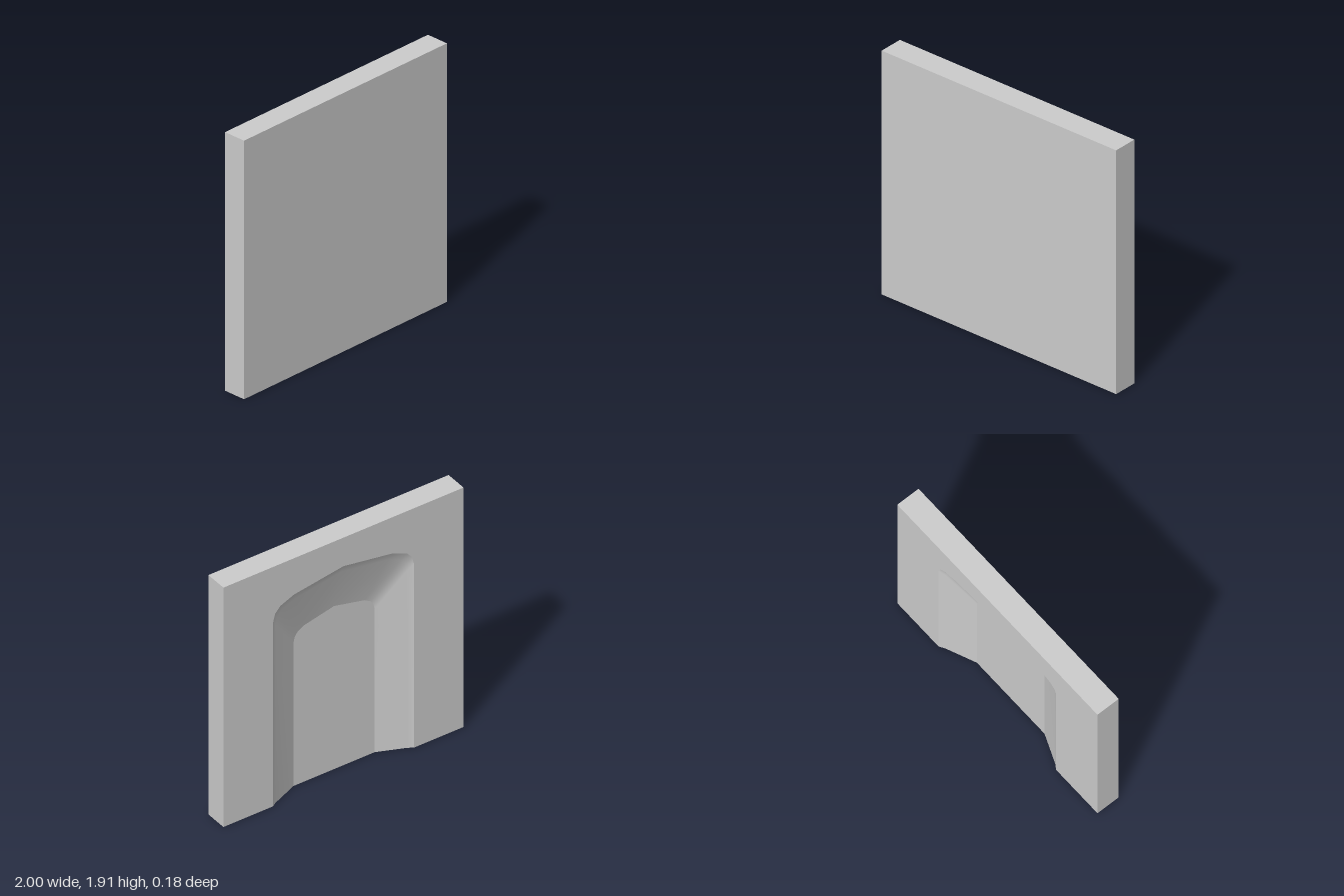
import * as THREE from 'three';

const HALF = 0.995, HEIGHT = 1.91, DEPTH = 0.09, FLOOR = 0.023;
const SKEW = -0.0556; // the ends lean slightly from front to back

// Half arches from the foot to the crown: [x, y]
const OUTER = [[0.584, 0], [0.584, 1.465], [0.567, 1.53], [0.523, 1.575], [0.41, 1.62], [0, 1.682]];
const INNER = [[0.336, 0], [0.336, 1.144], [0.326, 1.185], [0.303, 1.217], [0.25, 1.247], [0, 1.301]];

// Mirror a half arch into a full one, running from +x over the top to -x
const fullArch = (half) => [...half, ...half.slice(0, -1).reverse().map(([x, y]) => [-x, y])];

const lerpArch = (a, b, t) => a.map(([x, y], i) => [x + (b[i][0] - x) * t, y + (b[i][1] - y) * t]);

const material = new THREE.MeshStandardMaterial({ color: 0xcccccc });

function finish(name, geometry) {
  const p = geometry.attributes.position;
  for (let i = 0; i < p.count; i++) p.setX(i, p.getX(i) + SKEW * p.getZ(i));
  geometry.computeVertexNormals();
  const mesh = new THREE.Mesh(geometry, material);
  mesh.name = name;
  return mesh;
}

// Flat polygon, placed in space by a mapping from its 2D outline
function panel(name, outline, place, flip = false) {
  const shape = new THREE.Shape(outline.map(([a, b]) => new THREE.Vector2(a, b)));
  const geometry = new THREE.ShapeGeometry(shape);
  const p = geometry.attributes.position;
  for (let i = 0; i < p.count; i++) p.setXYZ(i, ...place(p.getX(i), p.getY(i)));
  if (flip) geometry.index.array.reverse();
  return finish(name, geometry);
}

// Smooth sloping wall lofted through the arch rings
function recessWall(rings) {
  const n = rings[0].points.length;
  const positions = [], index = [];
  rings.forEach(({ points, z }) => points.forEach(([x, y]) => positions.push(x, y, z)));
  for (let r = 0; r < rings.length - 1; r++) {
    for (let i = 0; i < n - 1; i++) {
      const a = r * n + i, b = a + 1, c = a + n, d = c + 1;
      index.push(a, c, b, b, c, d);
    }
  }
  const geometry = new THREE.BufferGeometry();
  geometry.setAttribute('position', new THREE.Float32BufferAttribute(positions, 3));
  geometry.setIndex(index);
  return finish('recessWall', geometry);
}

export function createModel() {
  const group = new THREE.Group();
  group.name = 'recessedSlab';

  const outer = fullArch(OUTER), inner = fullArch(INNER);
  const rings = [
    { points: outer, z: -DEPTH },
    { points: lerpArch(outer, inner, 0.15), z: -DEPTH + 0.024 },
    { points: inner, z: FLOOR },
  ];

  // Front and notched back
  const rect = (w, h0, h1) => [[-w, h0], [w, h0], [w, h1], [-w, h1]];
  group.add(panel('frontFace', rect(HALF, 0, HEIGHT), (x, y) => [x, y, DEPTH]));
  const backOutline = [[HALF, 0], [HALF, HEIGHT], [-HALF, HEIGHT], [-HALF, 0], ...[...outer].reverse()];
  group.add(panel('backFace', backOutline, (x, y) => [x, y, -DEPTH], true));

  // Arched recess
  group.add(recessWall(rings));
  group.add(panel('recessFloor', inner, (x, y) => [x, y, FLOOR], true));

  // Ends and top
  for (const side of [-1, 1]) {
    group.add(panel(side > 0 ? 'leftEnd' : 'rightEnd', rect(DEPTH, 0, HEIGHT),
      (z, y) => [side * HALF, y, z], side > 0));
  }
  group.add(panel('topFace', rect(HALF, -DEPTH, DEPTH), (x, z) => [x, HEIGHT, z], true));

  // Underside, cut by the recess section
  const feet = rings.map(({ points, z }) => [points[0][0], z]);
  const underside = [
    [HALF, DEPTH], [-HALF, DEPTH], [-HALF, -DEPTH],
    ...feet.map(([x, z]) => [-x, z]), ...[...feet].reverse(), [HALF, -DEPTH],
  ];
  group.add(panel('underside', underside, (x, z) => [x, 0, z]));

  return group;
}
